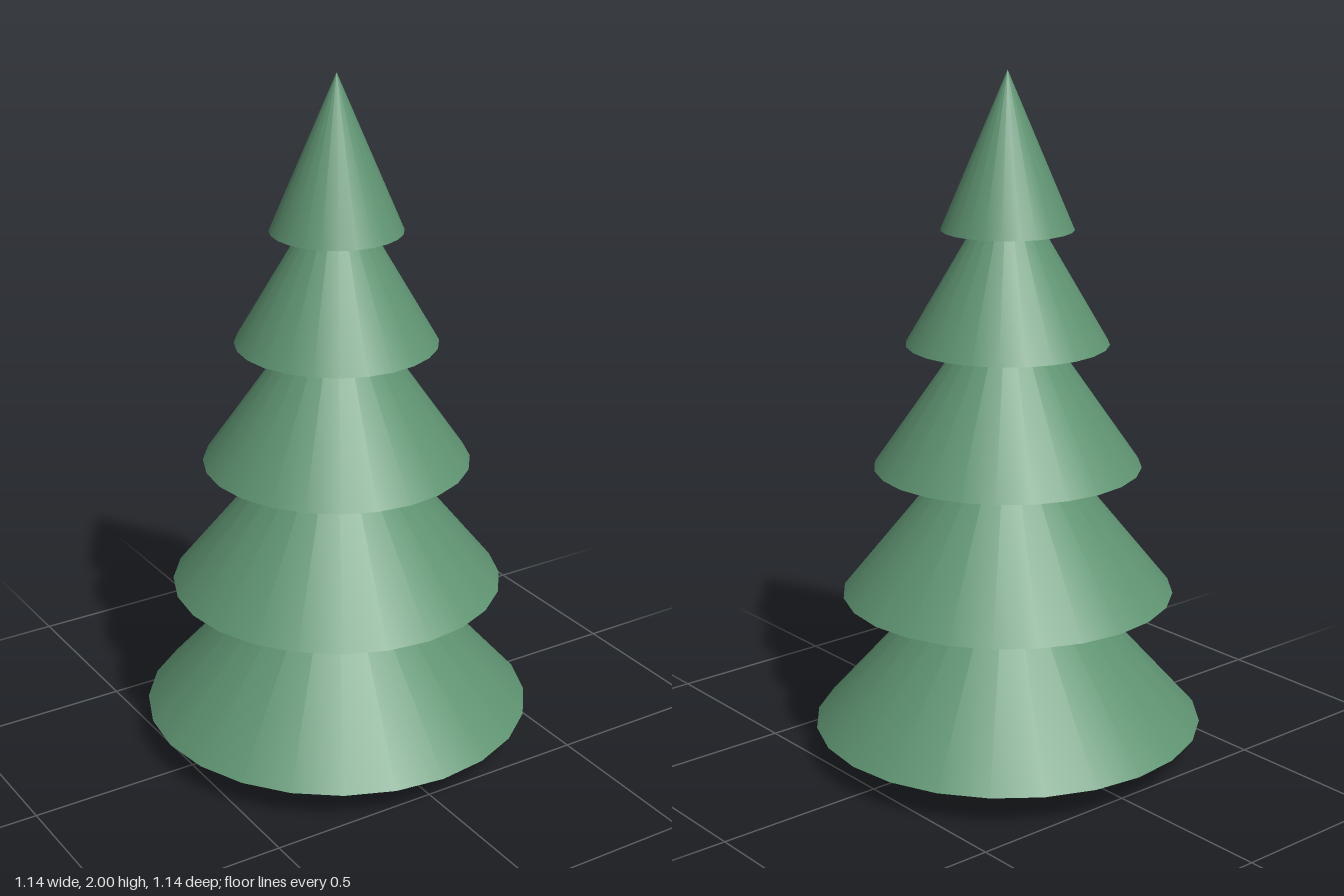
import * as THREE from 'three';

const SIDES = 24;

export function createModel() {
  const tree = new THREE.Group();
  tree.name = 'pineTree';

  const needles = new THREE.MeshStandardMaterial({ name: 'needle green', color: 0x5f9472 });
  const bark = new THREE.MeshStandardMaterial({ name: 'bark brown', color: 0x80664c });

  // Flared trunk, its upper end hidden inside the lowest tier
  const trunk = new THREE.Mesh(new THREE.CylinderGeometry(0.092, 0.17, 0.2, SIDES), bark);
  trunk.name = 'trunk';
  trunk.position.y = 0.1;
  tree.add(trunk);

  // Nested foliage cones, bottom to top: [base y, base radius, apex y]
  const tiers = [
    [0.09, 0.57, 0.73],
    [0.49, 0.483, 1.09],
    [0.87, 0.387, 1.43],
    [1.23, 0.291, 1.73],
    [1.557, 0.189, 2.0],
  ];
  tiers.forEach(([base, radius, apex], i) => {
    const tier = new THREE.Mesh(new THREE.ConeGeometry(radius, apex - base, SIDES), needles);
    tier.name = `foliageTier${i + 1}`;
    tier.position.y = (base + apex) / 2;
    tree.add(tier);
  });

  return tree;
}
